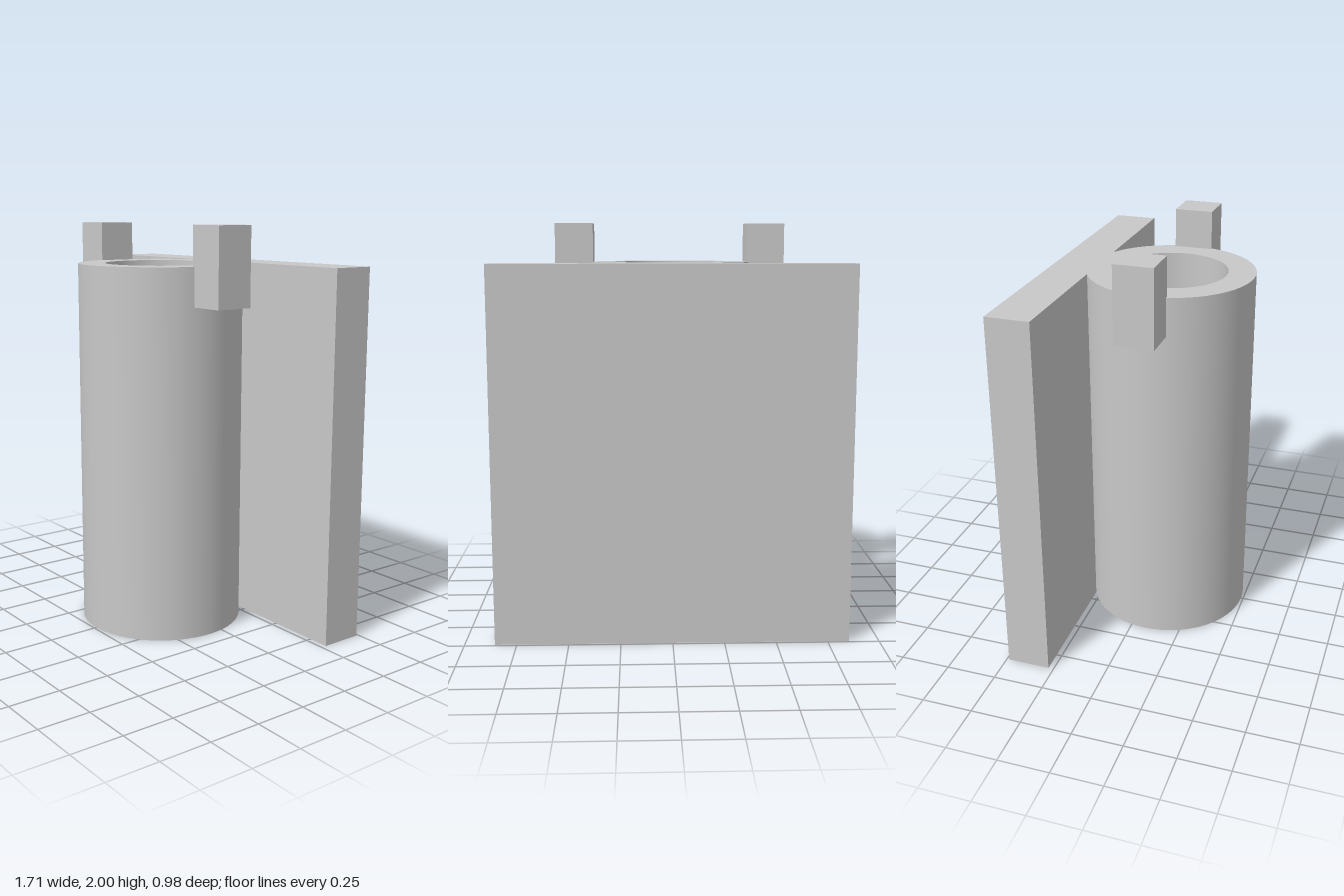
import * as THREE from 'three';
import { toCreasedNormals } from 'three/addons/utils/BufferGeometryUtils.js';

const HEIGHT = 1.81;
const TUBE_Z = 0.083, TUBE_R = 0.405, BORE_R = 0.272;
const LIP_R = 0.205, LIP_H = 0.11;
const PLATE_X = 0.855, PLATE_FRONT = -0.277, PLATE_BACK = -0.488;

export function createModel() {
  const group = new THREE.Group();
  const grey = new THREE.MeshStandardMaterial({ color: 0xc8c8c8 });
  grey.name = 'grey';

  const add = (name, geometry, x = 0, y = 0, z = 0) => {
    const mesh = new THREE.Mesh(geometry, grey);
    mesh.name = name;
    mesh.position.set(x, y, z);
    group.add(mesh);
  };

  // Back plate and tube share one outline (shape y is -z)
  const join = Math.asin((TUBE_Z - PLATE_FRONT) / TUBE_R);
  const outline = new THREE.Shape();
  outline.absarc(0, -TUBE_Z, TUBE_R, Math.PI - join, 2 * Math.PI + join, false);
  outline.lineTo(PLATE_X, -PLATE_FRONT);
  outline.lineTo(PLATE_X, -PLATE_BACK);
  outline.lineTo(-PLATE_X, -PLATE_BACK);
  outline.lineTo(-PLATE_X, -PLATE_FRONT);
  outline.closePath();
  const bore = new THREE.Path();
  bore.absarc(0, -TUBE_Z, BORE_R, 0, 2 * Math.PI, true);
  outline.holes.push(bore);
  const body = new THREE.ExtrudeGeometry(outline, {
    depth: HEIGHT, bevelEnabled: false, curveSegments: 72,
  });
  body.rotateX(-Math.PI / 2);
  add('plateAndTube', toCreasedNormals(body, 0.5));

  // Lip that narrows the bore at the bottom
  const profile = [
    [LIP_R, 0], [BORE_R, 0], [BORE_R, LIP_H], [LIP_R, LIP_H], [LIP_R, 0],
  ].map(([r, y]) => new THREE.Vector2(r, y));
  add('boreLip', toCreasedNormals(new THREE.LatheGeometry(profile, 72), 0.5), 0, 0, TUBE_Z);

  // Square lugs on both sides of the rim
  for (const [name, side] of [['leftLug', 1], ['rightLug', -1]]) {
    add(name, new THREE.BoxGeometry(0.188, 0.376, 0.188), side * 0.476, 1.812, TUBE_Z);
  }
  return group;
}
